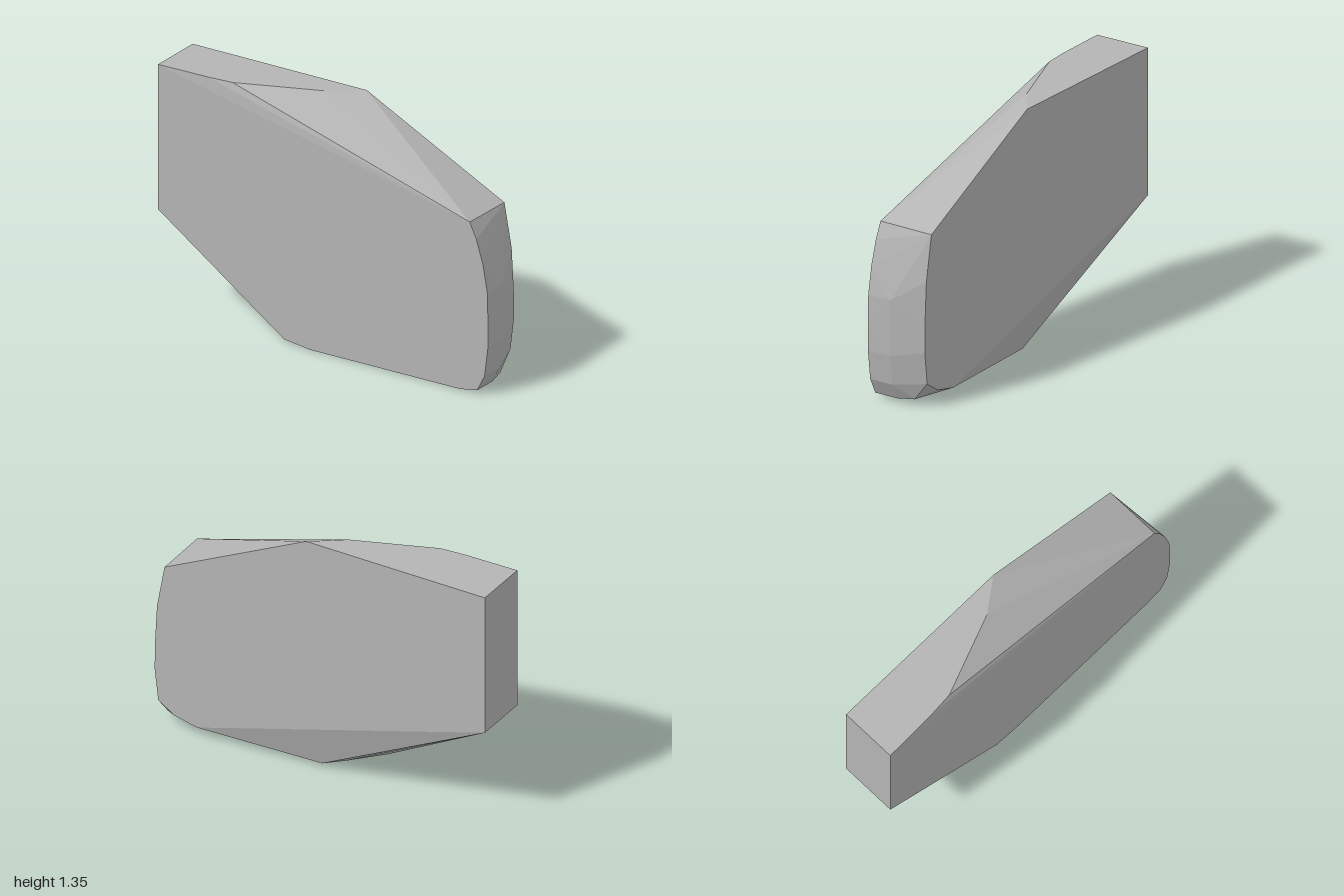
import * as THREE from 'three';
import { ConvexGeometry } from 'three/addons/geometries/ConvexGeometry.js';

const HALF_DEPTH = 0.157;

// Outline of the broad front face (x, y)
const front = [
  [-1, 0.55], [-1, 1.345], [0.89, 0.935], [0.93, 0.85], [0.97, 0.72], [0.997, 0.57],
  [1, 0.42], [1, 0.27], [0.98, 0.11], [0.935, 0.022], [0.83, 0.004], [-0.08, 0], [-0.235, 0.02],
];

// Outline of the smaller back face (x, y)
const back = [
  [-1, 0.55], [-1, 1.345], [0.055, 1.345], [0.89, 0.93], [0.934, 0.69], [0.947, 0.45],
  [0.948, 0.31], [0.927, 0.135], [0.834, 0.075], [0.7, 0.045],
];

// Corners of the bevels between the two faces (x, y, z)
const bevels = [
  [-0.7, 1.345, 0.15], [-0.56, 1.345, 0.139], [-0.12, 1.345, -0.03],
  [0.997, 0.57, 0.02], [1, 0.27, 0.02], [0.98, 0.11, 0.02],
  [0.935, 0.022, 0.02], [0.83, 0.006, 0.02], [-0.08, 0.005, 0.02],
  [0.92, 0.033, -0.075], [0, 0.02, -0.09],
];

export function createModel() {
  const group = new THREE.Group();
  group.name = 'bevelledSlab';

  const grey = new THREE.MeshStandardMaterial({ color: 0xb4b4b4 });
  grey.name = 'plain grey';

  // Faceted solid wrapped around all corners
  const corners = [
    ...front.map(([x, y]) => new THREE.Vector3(x, y, HALF_DEPTH)),
    ...back.map(([x, y]) => new THREE.Vector3(x, y, -HALF_DEPTH)),
    ...bevels.map((p) => new THREE.Vector3(...p)),
  ];
  const slab = new THREE.Mesh(new ConvexGeometry(corners), grey);
  slab.name = 'slab';
  group.add(slab);
  return group;
}
